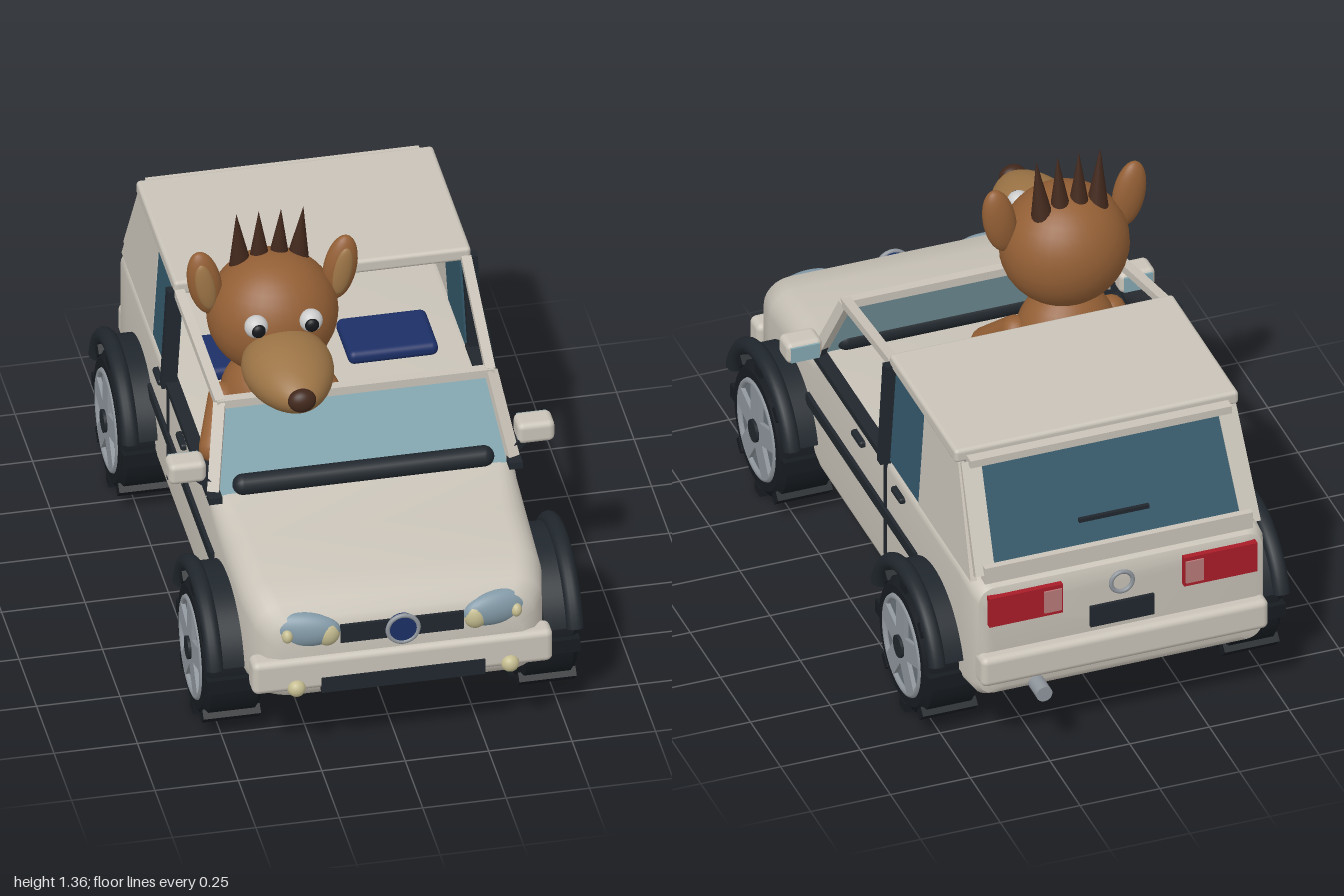
import * as THREE from 'three';
import { toCreasedNormals } from 'three/addons/utils/BufferGeometryUtils.js';
import { RoundedBoxGeometry } from 'three/addons/geometries/RoundedBoxGeometry.js';

const PAINT = 0xc9c3b8, DARK = 0x20272d, TYRE = 0x171c21, STEEL = 0x8e959b, GLASS = 0x33586a,
  SCREEN = 0x84a8b2, RED = 0xa81c28, LAMP = 0xc4bc90, LENS = 0x8299a6, FUR = 0x935f35,
  TAN = 0x9c7446, HAIR = 0x42281c, BLUE = 0x1c2f66, WHITE = 0xc8c8c4;

const mats = {};
const mat = c => mats[c] ??= new THREE.MeshStandardMaterial({ color: c, side: THREE.DoubleSide });

function add(parent, name, geo, color, x = 0, y = 0, z = 0) {
  const m = new THREE.Mesh(geo, mat(color));
  m.name = name;
  m.position.set(x, y, z);
  parent.add(m);
  return m;
}
const box = (p, n, c, w, h, d, x, y, z, r = 0) =>
  add(p, n, r ? new RoundedBoxGeometry(w, h, d, 3, r) : new THREE.BoxGeometry(w, h, d), c, x, y, z);
const ball = (p, n, c, rx, ry, rz, x, y, z) =>
  add(p, n, new THREE.SphereGeometry(1, 32, 20).scale(rx, ry, rz), c, x, y, z);

// Square bar between two points
function bar(p, n, c, a, b, w, h) {
  const A = new THREE.Vector3(...a), B = new THREE.Vector3(...b);
  const m = add(p, n, new THREE.BoxGeometry(w, h, A.distanceTo(B)), c);
  m.position.copy(A).add(B).multiplyScalar(0.5);
  m.lookAt(B);
  return m;
}
// Round limb between two points
function limb(p, n, c, a, b, r) {
  const A = new THREE.Vector3(...a), B = new THREE.Vector3(...b);
  const m = add(p, n, new THREE.CapsuleGeometry(r, A.distanceTo(B), 6, 16).rotateX(Math.PI / 2), c);
  m.position.copy(A).add(B).multiplyScalar(0.5);
  m.lookAt(B);
  return m;
}
// Flat pane outlined in x,y whose z follows its height
function pane(p, n, c, pts, zOf) {
  const g = new THREE.ShapeGeometry(new THREE.Shape(pts.map(q => new THREE.Vector2(...q))));
  const a = g.attributes.position;
  for (let i = 0; i < a.count; i++) a.setZ(i, zOf(a.getY(i)));
  g.computeVertexNormals();
  return add(p, n, g, c);
}

// Body shell lofted from rounded rectangles: z, half width, bottom, top, corner radius
function bodyGeometry() {
  const stations = [
    [0.955, 0.36, 0.27, 0.46, 0.06], [0.94, 0.40, 0.24, 0.505, 0.07], [0.90, 0.43, 0.22, 0.535, 0.08],
    [0.80, 0.45, 0.21, 0.558, 0.08], [0.60, 0.455, 0.21, 0.582, 0.08], [0.42, 0.457, 0.21, 0.598, 0.06],
    [0.36, 0.458, 0.21, 0.61, 0.035], [-0.80, 0.458, 0.21, 0.615, 0.035], [-0.90, 0.455, 0.215, 0.612, 0.05],
    [-0.925, 0.445, 0.23, 0.60, 0.05], [-0.932, 0.42, 0.25, 0.58, 0.05]];
  const K = 6, N = 4 * (K + 1), pos = [], idx = [];
  for (const [z, w, y0, y1, r] of stations)
    for (let c = 0; c < 4; c++)
      for (let k = 0; k <= K; k++) {
        const a = (c + k / K) * Math.PI / 2;
        const cx = (c === 0 || c === 3 ? 1 : -1) * (w - r), cy = c < 2 ? y1 - r : y0 + r;
        pos.push(cx + r * Math.cos(a), cy + r * Math.sin(a), z);
      }
  const S = stations.length;
  for (let s = 0; s < S - 1; s++)
    for (let i = 0; i < N; i++) {
      const a = s * N + i, b = s * N + (i + 1) % N;
      idx.push(a, a + N, b, b, a + N, b + N);
    }
  for (let i = 1; i < N - 1; i++) {
    idx.push(0, i, i + 1);
    idx.push((S - 1) * N, (S - 1) * N + i + 1, (S - 1) * N + i);
  }
  const g = new THREE.BufferGeometry();
  g.setAttribute('position', new THREE.Float32BufferAttribute(pos, 3));
  g.setIndex(idx);
  return toCreasedNormals(g, 0.7);
}

// Wheel around the x axis, outer face on +x
function wheel() {
  const w = new THREE.Group();
  w.name = 'wheel';
  const prof = [[0.14, -0.088], [0.185, -0.088], [0.207, -0.07], [0.207, 0.07], [0.185, 0.088], [0.16, 0.088], [0.15, 0.06]];
  const disc = (n, c, r, t, x) => add(w, n, new THREE.CylinderGeometry(r, r, t, 32).rotateZ(-Math.PI / 2), c, x);
  add(w, 'tyre', toCreasedNormals(new THREE.LatheGeometry(prof.map(q => new THREE.Vector2(...q)), 40), 0.5)
    .rotateZ(-Math.PI / 2), TYRE);
  for (let i = 0; i < 8; i++) {
    const a = i * Math.PI / 4;
    box(w, 'treadLug', TYRE, 0.172, 0.03, 0.045, 0, -0.209 * Math.cos(a), 0.209 * Math.sin(a)).rotation.x = -a;
  }
  disc('innerDisc', TYRE, 0.15, 0.02, -0.078);
  disc('rim', 0x6c747b, 0.155, 0.12, 0.02);
  add(w, 'rimEdge', new THREE.TorusGeometry(0.148, 0.01, 8, 40).rotateY(Math.PI / 2), STEEL, 0.084);
  for (let i = 0; i < 5; i++) {
    const a = i * Math.PI * 2 / 5;
    box(w, 'spoke', STEEL, 0.02, 0.12, 0.07, 0.083, 0.085 * Math.cos(a), 0.085 * Math.sin(a)).rotation.x = a;
  }
  disc('hub', DARK, 0.035, 0.02, 0.092);
  return w;
}

function buildCar(car) {
  add(car, 'body', bodyGeometry(), PAINT);
  const zFront = y => 0.40 - (y - 0.6) * 0.48, zRear = y => -0.893 + (y - 0.66) * 0.54;

  // Windscreen, cowl and hard top
  pane(car, 'windscreen', SCREEN, [[-0.43, 0.6], [0.43, 0.6], [0.395, 0.84], [-0.395, 0.84]], zFront);
  box(car, 'windscreenTopBar', PAINT, 0.83, 0.027, 0.03, 0, 0.848, 0.28);
  limb(car, 'cowlRoll', DARK, [-0.36, 0.632, 0.4], [0.36, 0.632, 0.4], 0.032);
  box(car, 'roof', PAINT, 0.89, 0.045, 0.55, 0, 0.948, -0.455, 0.012);
  box(car, 'roofLip', PAINT, 0.82, 0.025, 0.05, 0, 0.937, -0.74);
  pane(car, 'rearWindow', GLASS, [[-0.39, 0.66], [0.39, 0.66], [0.375, 0.93], [-0.375, 0.93]], zRear);
  box(car, 'rearRail', PAINT, 0.84, 0.055, 0.035, 0, 0.637, -0.895);
  box(car, 'rearWiper', DARK, 0.22, 0.012, 0.012, 0, 0.735, -0.868);

  for (const s of [-1, 1]) {
    bar(car, 'windscreenPillar', PAINT, [s * 0.45, 0.6, 0.4], [s * 0.405, 0.85, 0.28], 0.035, 0.03);
    bar(car, 'sideRail', PAINT, [s * 0.405, 0.85, 0.285], [s * 0.43, 0.935, -0.18], 0.03, 0.025);
    bar(car, 'rearPillar', PAINT, [s * 0.415, 0.63, -0.895], [s * 0.4, 0.93, -0.735], 0.06, 0.025);
    bar(car, 'doorPillar', DARK, [s * 0.46, 0.6, -0.193], [s * 0.442, 0.94, -0.193], 0.03, 0.045);
    box(car, 'doorGap', DARK, 0.012, 0.36, 0.012, s * 0.458, 0.45, -0.193);
    box(car, 'windowSill', DARK, 0.04, 0.022, 0.64, s * 0.45, 0.61, 0.12);
    box(car, 'sideTrim', DARK, 0.02, 0.035, 0.9, s * 0.459, 0.42, 0);

    // Side panel and side window lean inward towards the roof
    const side = (n, c, pts, x) => {
      const g = new THREE.ExtrudeGeometry(new THREE.Shape(pts.map(q => new THREE.Vector2(...q))),
        { depth: 0.02, bevelEnabled: false }).rotateY(-Math.PI / 2).translate(0.01, 0, 0);
      const a = g.attributes.position;
      for (let i = 0; i < a.count; i++) a.setX(i, a.getX(i) + s * (x - (a.getY(i) - 0.61) * 0.06));
      g.computeVertexNormals();
      add(car, n, g, c);
    };
    side('sidePanel', PAINT, [[-0.45, 0.61], [-0.45, 0.93], [-0.73, 0.93], [-0.885, 0.61]], 0.445);
    side('sideWindow', GLASS, [[-0.2, 0.61], [-0.2, 0.93], [-0.45, 0.93], [-0.45, 0.61]], 0.442);

    box(car, 'frontDoorHandle', DARK, 0.025, 0.022, 0.08, s * 0.463, 0.547, 0.02, 0.008);
    box(car, 'rearDoorHandle', DARK, 0.025, 0.02, 0.08, s * 0.463, 0.556, -0.31, 0.008);
    box(car, 'mirror', PAINT, 0.112, 0.07, 0.08, s * 0.522, 0.68, 0.35, 0.018);
    box(car, 'mirrorGlass', SCREEN, 0.09, 0.05, 0.006, s * 0.522, 0.68, 0.309);
    bar(car, 'mirrorMount', DARK, [s * 0.44, 0.625, 0.38], [s * 0.49, 0.66, 0.36], 0.03, 0.03);
    box(car, 'seat', BLUE, 0.27, 0.045, 0.2, s * 0.21, 0.635, -0.26, 0.02);

    // Lamps
    ball(car, 'headlight', LENS, 0.12, 0.058, 0.04, s * 0.3, 0.46, 0.925).rotation.y = s * 0.22;
    ball(car, 'headlightBulb', LAMP, 0.038, 0.043, 0.03, s * 0.222, 0.452, 0.945);
    ball(car, 'indicator', LAMP, 0.017, 0.022, 0.02, s * 0.343, 0.457, 0.95);
    ball(car, 'fogLamp', LAMP, 0.027, 0.027, 0.025, s * 0.32, 0.285, 0.972);
    box(car, 'tailLight', RED, 0.23, 0.1, 0.03, s * 0.305, 0.53, -0.935);
    box(car, 'reverseLight', 0xb87878, 0.055, 0.075, 0.008, s * 0.222, 0.53, -0.951);

    // Wheels and flares
    for (const z of [0.612, -0.592]) {
      const w = wheel();
      w.position.set(s * 0.473, 0.224, z);
      if (s < 0) w.rotation.y = Math.PI;
      car.add(w);
      const from = 0.3, arc = Math.PI - 2 * from;
      add(car, 'wheelFlare', new THREE.TorusGeometry(0.25, 0.026, 12, 32, arc).rotateZ(from)
        .rotateY(Math.PI / 2), DARK, s * 0.54, 0.224, z);
      add(car, 'wheelArch', new THREE.CylinderGeometry(0.25, 0.25, 0.09, 32, 1, true, -Math.PI / 2 + from, arc)
        .rotateX(-Math.PI / 2).rotateY(Math.PI / 2), DARK, s * 0.495, 0.224, z);
    }
  }

  // Nose and tail details
  box(car, 'frontBumper', PAINT, 0.9, 0.11, 0.075, 0, 0.325, 0.935, 0.02);
  box(car, 'lowerGrille', DARK, 0.49, 0.052, 0.02, 0, 0.285, 0.966);
  box(car, 'grille', DARK, 0.37, 0.06, 0.03, 0, 0.447, 0.945);
  add(car, 'noseDisc', new THREE.CylinderGeometry(0.045, 0.045, 0.02, 32).rotateX(Math.PI / 2), BLUE, 0, 0.45, 0.963);
  add(car, 'noseRing', new THREE.TorusGeometry(0.046, 0.007, 8, 32), STEEL, 0, 0.45, 0.97);
  box(car, 'rearBumper', PAINT, 0.9, 0.1, 0.09, 0, 0.33, -0.925, 0.02);
  box(car, 'plate', DARK, 0.2, 0.07, 0.015, 0, 0.435, -0.935);
  add(car, 'tailRing', new THREE.TorusGeometry(0.034, 0.007, 8, 32), STEEL, 0, 0.535, -0.935);
  add(car, 'exhaust', new THREE.CylinderGeometry(0.025, 0.025, 0.16, 20).rotateX(Math.PI / 2), STEEL, 0.267, 0.24, -0.92);
}

function buildDriver(d) {
  const X = -0.21;
  ball(d, 'torso', FUR, 0.155, 0.17, 0.135, X, 0.72, 0.085);
  ball(d, 'head', FUR, 0.195, 0.19, 0.182, X, 1.03, 0.1);

  // Muzzle narrows towards the nose
  const g = new THREE.SphereGeometry(1, 32, 24), a = g.attributes.position;
  for (let i = 0; i < a.count; i++) {
    const t = a.getZ(i), f = 1 - 0.22 * t;
    a.setXYZ(i, a.getX(i) * f * 0.132, a.getY(i) * f * 0.1, t * 0.185);
  }
  g.computeVertexNormals();
  add(d, 'muzzle', g, TAN, X, 0.975, 0.355).rotation.x = -0.05;
  ball(d, 'nose', HAIR, 0.042, 0.037, 0.03, X, 0.993, 0.527);

  for (const s of [-1, 1]) {
    ball(d, 'eye', WHITE, 0.035, 0.035, 0.033, X + s * 0.082, 1.09, 0.262);
    ball(d, 'pupil', 0x14161a, 0.021, 0.022, 0.014, X + s * 0.08, 1.09, 0.288);
    ball(d, 'ear', FUR, 0.05, 0.11, 0.035, X + s * 0.203, 1.155, 0.1).rotation.z = -s * 0.18;
    ball(d, 'innerEar', TAN, 0.029, 0.08, 0.015, X + s * 0.205, 1.155, 0.125).rotation.z = -s * 0.18;
    limb(d, 'arm', FUR, [X + s * 0.15, 0.75, 0.11], [X + s * 0.2, 0.65, 0.22], 0.045);
    limb(d, 'leg', FUR, [X + s * 0.08, 0.635, 0.15], [X + s * 0.1, 0.635, 0.27], 0.04);
  }
  // Spiky crest
  for (let i = 0; i < 4; i++)
    add(d, 'hairSpike', new THREE.ConeGeometry(0.035, 0.2, 16), HAIR, X + (i - 1.5) * 0.062, 1.262, 0.06)
      .rotation.set(0.06, 0, -(i - 1.5) * 0.05);
}

export function createModel() {
  const root = new THREE.Group();
  root.name = 'carWithDriver';
  for (const [name, build] of [['car', buildCar], ['driver', buildDriver]]) {
    const g = new THREE.Group();
    g.name = name;
    build(g);
    root.add(g);
  }
  return root;
}
